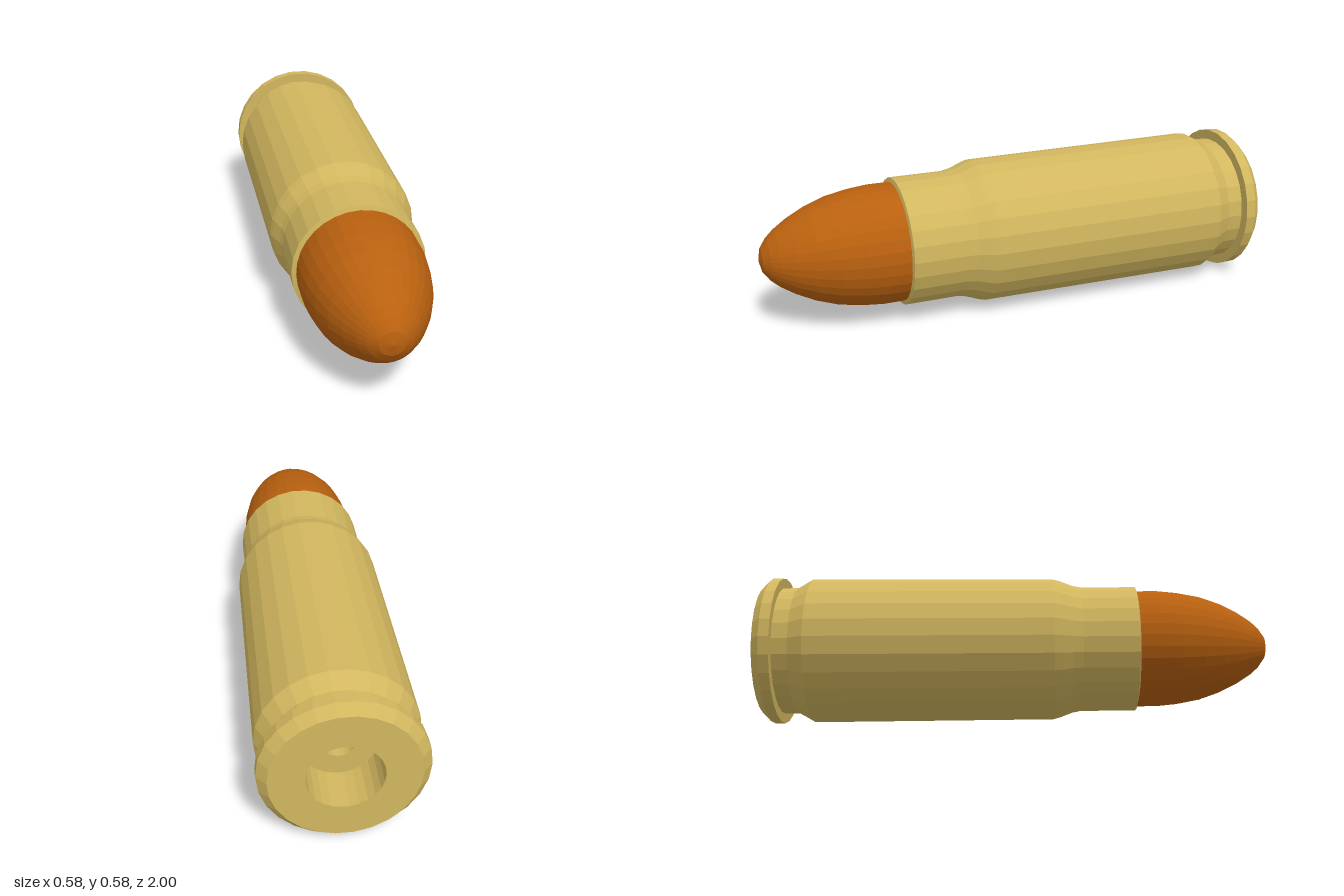
import * as THREE from 'three';

const AXIS_HEIGHT = 0.29;

// Turned part: profile of [radius, z] points spun around the z axis,
// with a vertex on +x and a flat on top.
function turned(name, profile, sides, color) {
  const points = profile.map(([r, z]) => new THREE.Vector2(r, z));
  const geometry = new THREE.LatheGeometry(points, sides, Math.PI / 2);
  geometry.rotateX(Math.PI / 2);
  const material = new THREE.MeshStandardMaterial({ color, flatShading: true, side: THREE.DoubleSide });
  const mesh = new THREE.Mesh(geometry, material);
  mesh.name = name;
  mesh.position.y = AXIS_HEIGHT;
  return mesh;
}

export function createModel() {
  const group = new THREE.Group();
  group.name = 'cartridge';

  // Hollow case: cavity, flash hole, primer pocket, rim, groove, body, shoulder, neck
  const caseProfile = [
    [0.23, 0.48], [0.23, 0.24], [0.22, 0.13], [0.22, -0.72],
    [0.055, -0.75], [0.055, -0.84],                    // flash hole
    [0.133, -0.84], [0.133, -1],                       // primer pocket
    [0.258, -1], [0.2915, -0.966], [0.2915, -0.926],   // rim
    [0.253, -0.926], [0.253, -0.865], [0.288, -0.803], // extractor groove
    [0.281, 0.15], [0.274, 0.175], [0.255, 0.225],     // body and shoulder
    [0.248, 0.26], [0.248, 0.475], [0.23, 0.48],       // neck and mouth
  ];
  group.add(turned('case', caseProfile, 26, 0xd2b75f));

  // Rounded bullet seated in the neck
  const bulletProfile = [
    [0, 0.2], [0.2, 0.2], [0.231, 0.24], [0.231, 0.48], [0.231, 0.56],
    [0.223, 0.64], [0.206, 0.73], [0.178, 0.81], [0.143, 0.88],
    [0.107, 0.935], [0.08, 0.965], [0.045, 0.99], [0, 1],
  ];
  group.add(turned('bullet', bulletProfile, 32, 0xb8600f));

  return group;
}
